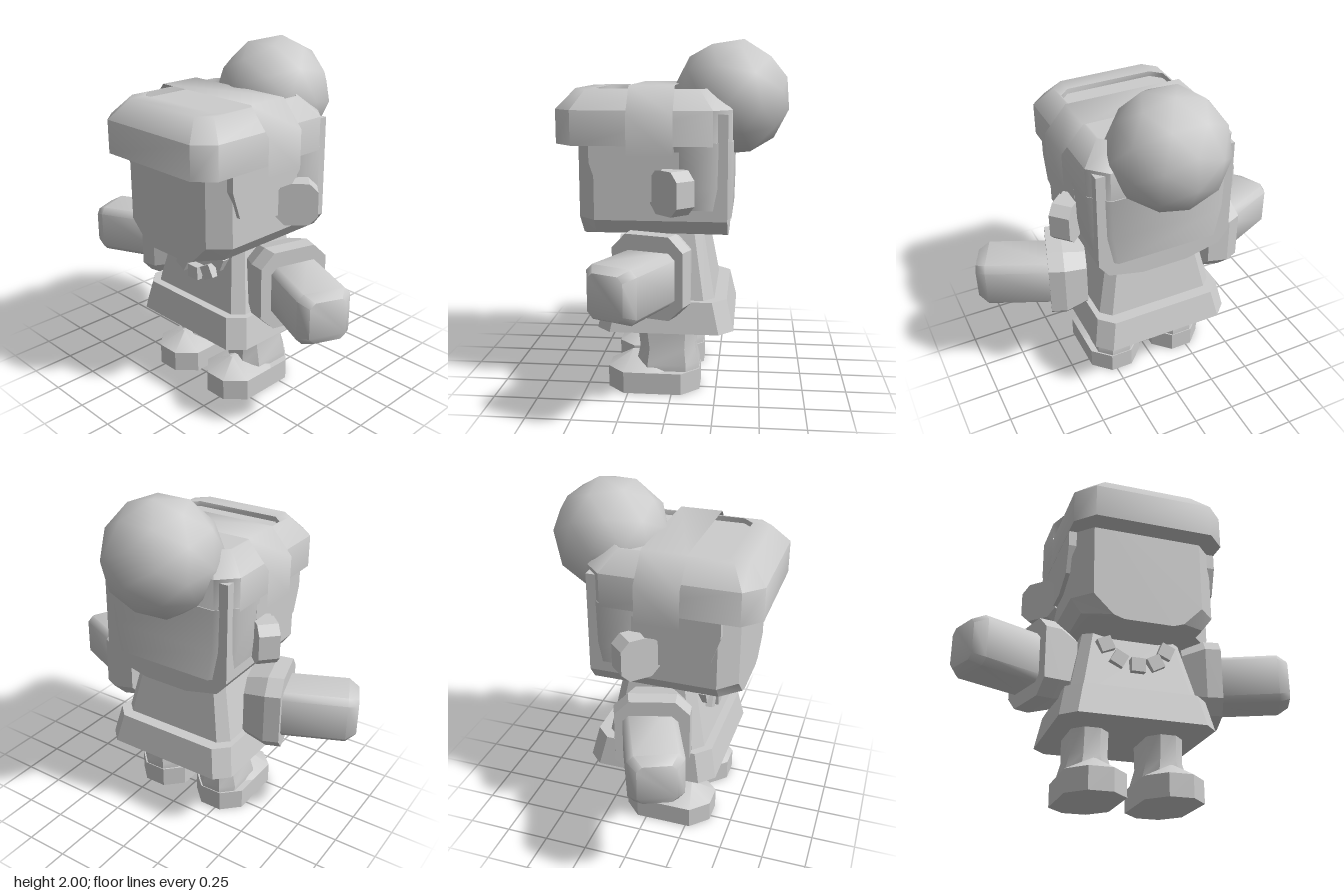
import * as THREE from 'three';
import { toCreasedNormals, mergeVertices } from 'three/addons/utils/BufferGeometryUtils.js';

const V = (x, y, z) => new THREE.Vector3(x, y, z);

// Skin a list of rings; closed lofts get flat end caps
function loft(rings, closed = true, crease = 0.7) {
  const n = rings[0].length, pos = [];
  const tri = (...p) => p.forEach((q) => pos.push(q.x, q.y, q.z));
  for (let i = 0; i + 1 < rings.length; i++) {
    for (let j = 0; j < (closed ? n : n - 1); j++) {
      const k = (j + 1) % n;
      const a = rings[i][j], b = rings[i][k], c = rings[i + 1][k], d = rings[i + 1][j];
      tri(a, b, c);
      tri(a, c, d);
    }
  }
  if (closed) {
    const first = rings[0], last = rings[rings.length - 1];
    for (let j = 1; j + 1 < n; j++) {
      tri(first[0], first[j + 1], first[j]);
      tri(last[0], last[j], last[j + 1]);
    }
  }
  const g = new THREE.BufferGeometry();
  g.setAttribute('position', new THREE.Float32BufferAttribute(pos, 3));
  g.computeVertexNormals();
  return toCreasedNormals(g, crease);
}

// Rectangle with cut corners, as [u, v] pairs, counterclockwise
const cut = (a, b, c) => [[a, c - b], [a, b - c], [a - c, b], [c - a, b], [-a, b - c], [-a, c - b], [c - a, -b], [a - c, -b]];

// Level ring at height y: half width hx, from z = back to z = front
const level = (y, hx, back, front, c) =>
  cut((front - back) / 2, hx, c).map(([u, v]) => V(v, y, u + (front + back) / 2));

// Upright ring at depth z
const upright = (z, hx, hy, c) => cut(hx, hy, c).map(([u, v]) => V(u, v, z));

export function createModel() {
  const model = new THREE.Group();
  const grey = new THREE.MeshStandardMaterial({ color: 0xcccccc });
  grey.name = 'light grey';
  grey.side = THREE.DoubleSide;
  const add = (name, geometry, x = 0, y = 0, z = 0) => {
    const m = new THREE.Mesh(geometry, grey);
    m.name = name;
    m.position.set(x, y, z);
    model.add(m);
    return m;
  };

  // Head: flat face, cut cheeks and jaw
  const jaw = (z, half) => [
    ...half.map(([x, y]) => V(-x, y, z)),
    ...half.slice().reverse().map(([x, y]) => V(x, y, z)),
  ];
  const wide = [[0.41, 1.6], [0.41, 1.02], [0.35, 0.94], [0.14, 0.89]];
  const face = [[0.31, 1.6], [0.31, 1.02], [0.2, 0.91], [0.14, 0.89]];
  add('head', loft([jaw(-0.31, wide), jaw(0.42, wide), jaw(0.52, face)], true, 0.4));

  // Hair: cap with overhanging fringe and a shallow sunken top
  add('hairCap', loft([
    level(1.43, 0.435, -0.33, 0.64, 0.1),
    level(1.62, 0.435, -0.33, 0.64, 0.1),
    level(1.73, 0.33, -0.22, 0.54, 0.07),
    level(1.73, 0.32, -0.21, 0.43, 0.06),
    level(1.70, 0.32, -0.21, 0.43, 0.06),
  ], true, 0.85));
  add('backHair', loft([
    level(1.02, 0.4, -0.33, 0.04, 0.1),
    level(1.2, 0.43, -0.335, 0.06, 0.1),
    level(1.45, 0.435, -0.335, 0.08, 0.1),
  ], true, 0.85));

  // Side locks
  const lock = new THREE.Shape([[0.44, 1.45], [0.44, 1.34], [0.39, 1.19], [0.24, 1.13], [-0.05, 1.13], [-0.05, 1.45]]
    .map(([z, y]) => new THREE.Vector2(z, y)));
  for (const s of [-1, 1]) {
    const g = new THREE.ExtrudeGeometry(lock, { depth: 0.05, bevelEnabled: false });
    g.rotateY(-Math.PI / 2);
    add(s > 0 ? 'leftLock' : 'rightLock', g, s > 0 ? 0.434 : -0.384);
  }

  // Hair band: open strip over the head
  const bandHalf = [[0.48, 1.31, 0.065], [0.48, 1.38, 0.125], [0.48, 1.6, 0.125], [0.35, 1.75, 0.125]];
  const bandRow = (s) => [
    ...bandHalf.map(([x, y, h]) => V(x, y, 0.105 + s * h)),
    ...bandHalf.slice().reverse().map(([x, y, h]) => V(-x, y, 0.105 + s * h)),
  ];
  add('hairBand', loft([bandRow(-1), bandRow(1)], false, 0.9));

  // Hair bun
  let bun = new THREE.IcosahedronGeometry(0.335, 1);
  bun.deleteAttribute('normal');
  bun.deleteAttribute('uv');
  bun = mergeVertices(bun);
  bun.computeVertexNormals();
  add('hairBun', bun, 0, 1.67, -0.315).rotation.x = -0.2;

  // Dress: tapered top and flared hem
  add('torso', loft([
    level(0.5, 0.38, -0.25, 0.35, 0.06),
    level(0.95, 0.28, -0.17, 0.25, 0.05),
  ], true, 0.4));
  add('skirt', loft([
    level(0.385, 0.435, -0.35, 0.42, 0.08),
    level(0.56, 0.4, -0.31, 0.385, 0.08),
  ], true, 0.4));

  // Necklace beads
  for (let i = -2; i <= 2; i++) {
    const n = Math.abs(i);
    const bead = add('necklaceBead', new THREE.BoxGeometry(0.08, 0.08, 0.06),
      Math.sign(i) * [0, 0.105, 0.175][n], [0.72, 0.75, 0.835][n], [0.315, 0.305, 0.285][n]);
    bead.rotation.z = Math.sign(i) * [0, 0.5, 1.15][n];
  }

  for (const s of [-1, 1]) {
    const side = s > 0 ? 'left' : 'right';

    // Ears: thick eight-sided plates turned outward
    add(side + 'Ear', loft([upright(-0.06, 0.115, 0.12, 0.05), upright(0.06, 0.115, 0.12, 0.05)], true, 0.4),
      s * 0.465, 1.19, -0.015).rotation.y = s * 0.77;

    // Sleeves and arms, angled slightly forward
    add(side + 'Sleeve', loft([
      upright(-0.22, 0.17, 0.19, 0.07),
      upright(-0.09, 0.215, 0.228, 0.08),
      upright(0, 0.205, 0.228, 0.08),
    ], true, 0.15), s * 0.57, 0.747, 0.11).rotation.y = s * (Math.PI / 2 - 0.29);
    add(side + 'Arm', loft([
      upright(-0.5, 0.15, 0.143, 0.035),
      upright(-0.06, 0.15, 0.143, 0.035),
      upright(0, 0.105, 0.115, 0.03),
    ], true, 0.9), s * 0.945, 0.745, 0.267).rotation.y = s * (Math.PI / 2 - 0.42);

    // Legs flaring into the ankles
    add(side + 'Leg', loft([
      level(0.12, 0.13, -0.15, 0.21, 0.07),
      level(0.16, 0.13, -0.15, 0.21, 0.07),
      level(0.25, 0.105, -0.13, 0.19, 0.06),
      level(0.42, 0.105, -0.14, 0.21, 0.06),
    ], true, 0.7), s * 0.215);

    // Shoes with a ridged toe
    add(side + 'Shoe', loft([
      level(0, 0.168, -0.155, 0.375, 0.1),
      level(0.125, 0.168, -0.155, 0.375, 0.1),
    ], true, 0.4), s * 0.215);
    add(side + 'ShoeToe', loft([
      level(0.125, 0.168, -0.02, 0.375, 0.1),
      level(0.205, 0.012, 0.12, 0.245, 0.005),
    ], true, 0.5), s * 0.215);
  }
  return model;
}
